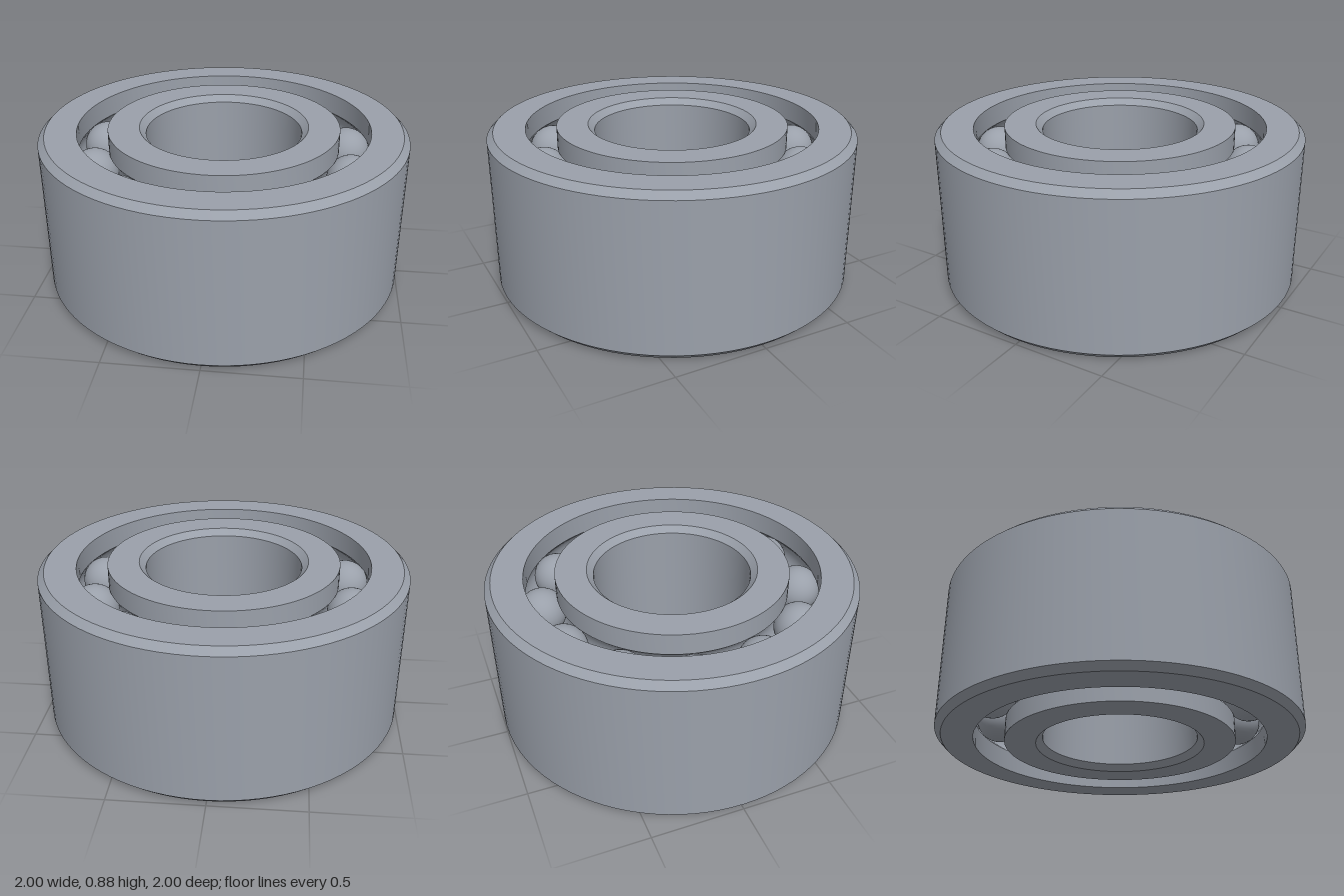
import * as THREE from 'three';
import { toCreasedNormals } from 'three/addons/utils/BufferGeometryUtils.js';

const H = 0.875;            // bearing width
const OUTER_R = 1, BORE_R = 0.425, CHAMFER = 0.035;
const OUTER_LAND = 0.795;   // inside wall of the outer ring
const INNER_LAND = 0.63;    // outside wall of the inner ring
const PITCH_R = (OUTER_LAND + INNER_LAND) / 2;
const BALL_R = 0.13, BALLS = 12;
const ROWS = [H / 4, (3 * H) / 4];

// Raceway arc in the (radius, height) plane around one row of balls
function groove(rowY, from, to) {
  const r = BALL_R + 0.001, steps = 12, pts = [];
  for (let i = 0; i <= steps; i++) {
    const a = from + ((to - from) * i) / steps;
    pts.push([PITCH_R + r * Math.cos(a), rowY + r * Math.sin(a)]);
  }
  return pts;
}

function ring(name, profile, material) {
  const points = profile.map(([r, y]) => new THREE.Vector2(r, y));
  const geometry = toCreasedNormals(new THREE.LatheGeometry(points, 96), Math.PI / 6);
  const mesh = new THREE.Mesh(geometry, material);
  mesh.name = name;
  return mesh;
}

export function createModel() {
  const group = new THREE.Group();
  group.name = 'ballBearing';
  const steel = new THREE.MeshStandardMaterial({ color: 0x9aa0aa });
  steel.name = 'steel';

  // Half angle at which a raceway meets the straight wall
  const half = Math.acos((OUTER_LAND - PITCH_R) / (BALL_R + 0.001));

  // Outer ring: chamfered outside, two raceways inside
  group.add(ring('outerRing', [
    [OUTER_LAND, 0],
    [OUTER_R - CHAMFER, 0], [OUTER_R, CHAMFER],
    [OUTER_R, H - CHAMFER], [OUTER_R - CHAMFER, H],
    [OUTER_LAND, H],
    ...groove(ROWS[1], half, -half),
    ...groove(ROWS[0], half, -half),
    [OUTER_LAND, 0],
  ], steel));

  // Inner ring: two raceways outside, chamfered bore
  group.add(ring('innerRing', [
    [BORE_R + CHAMFER, 0],
    [INNER_LAND, 0],
    ...groove(ROWS[0], Math.PI + half, Math.PI - half),
    ...groove(ROWS[1], Math.PI + half, Math.PI - half),
    [INNER_LAND, H], [BORE_R + CHAMFER, H],
    [BORE_R, H - CHAMFER], [BORE_R, CHAMFER],
    [BORE_R + CHAMFER, 0],
  ], steel));

  // Two rows of balls
  const ballGeometry = new THREE.SphereGeometry(BALL_R, 32, 20);
  ROWS.forEach((y, row) => {
    const balls = new THREE.Group();
    balls.name = row === 0 ? 'lowerBalls' : 'upperBalls';
    for (let i = 0; i < BALLS; i++) {
      const a = THREE.MathUtils.degToRad(12 + (360 / BALLS) * i);
      const ball = new THREE.Mesh(ballGeometry, steel);
      ball.name = 'ball';
      ball.position.set(PITCH_R * Math.sin(a), y, -PITCH_R * Math.cos(a));
      balls.add(ball);
    }
    group.add(balls);
  });

  return group;
}
